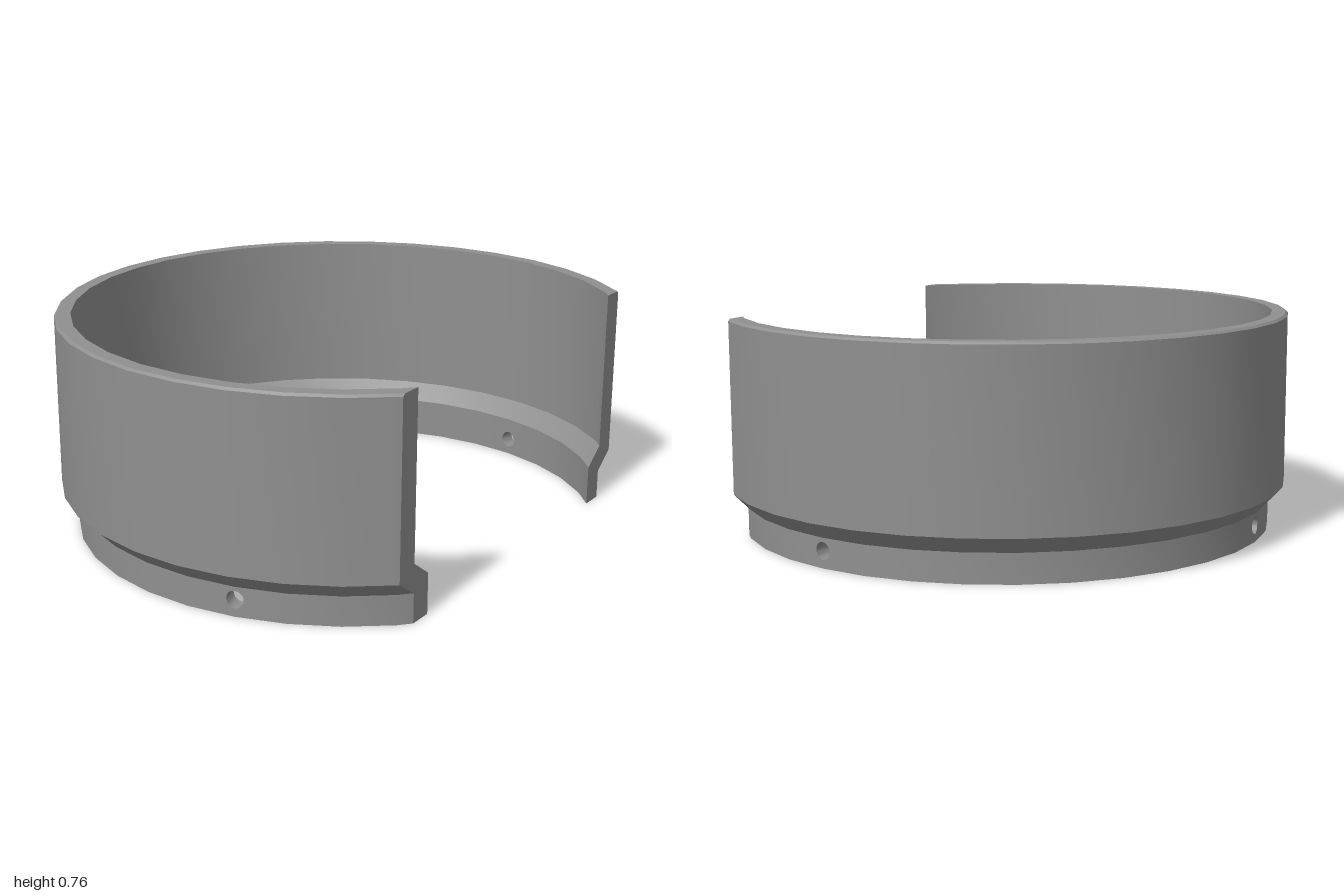
import * as THREE from 'three';
import { toCreasedNormals } from 'three/addons/utils/BufferGeometryUtils.js';

const STEP = (Math.PI * 2) / 35; // 35-sided ring, corner 0 on the -x side
const CENTRE_X = 0.156; // ring axis
const CUT_X = 0.688; // flat cut, measured from the ring axis
const FIRST = -14, LAST = 14; // end corners, both beyond the cut
const HOLE_Y = 0.058, HOLE_R = 0.03, ARC_STEPS = 10;
const HOLE_CORNERS = [-10, 0, 10];

// Wall section as (radius, y), counter-clockwise
const PROFILE = [
  [0.89, 0], [0.945, 0], [0.945, 0.102], [1.001, 0.16], [1.001, 0.757],
  [0.993, 0.765], [0.945, 0.765], [0.945, 0.2], [0.89, 0.14],
];
const OUTER_WALL = 1, INNER_WALL = 8; // profile edges the holes pierce

// Corner k of the ring polygon, clamped along the polygon to the cut plane
function corner([r, y], k) {
  const at = (j) => new THREE.Vector3(
    r * Math.cos(Math.PI + j * STEP), y, r * Math.sin(Math.PI + j * STEP));
  const dir = k < 0 ? 1 : -1;
  let a = at(k);
  if (a.x <= CUT_X) return a;
  let b = at(k += dir);
  while (b.x > CUT_X) { a = b; b = at(k += dir); }
  return a.clone().lerp(b, (a.x - CUT_X) / (a.x - b.x));
}

function buildRing() {
  const pos = [];
  const tri = (a, b, c, flip) => {
    const area = b.clone().sub(a).cross(c.clone().sub(a)).length();
    if (area < 1e-9) return;
    for (const p of flip ? [a, c, b] : [a, b, c]) pos.push(p.x, p.y, p.z);
  };
  const quad = (a, b, c, d, flip) => { tri(a, b, c, flip); tri(a, c, d, flip); };
  const fill = (contour, points, flip) => {
    for (const [a, b, c] of THREE.ShapeUtils.triangulateShape(contour, [])) {
      tri(points[a], points[b], points[c], flip);
    }
  };

  // Wall panel beside corner k with half a hole cut from that edge; returns the arc
  function halfPiercedPanel([r, height], k, side, flip) {
    const start = corner([r, 0], k), end = corner([r, 0], k + side);
    const width = start.distanceTo(end);
    const contour = [[0, 0], [width, 0], [width, height], [0, height]]
      .map(([s, y]) => new THREE.Vector2(s, y));
    for (let i = 0; i <= ARC_STEPS; i++) {
      const t = Math.PI * (0.5 - i / ARC_STEPS);
      contour.push(new THREE.Vector2(HOLE_R * Math.cos(t), HOLE_Y + HOLE_R * Math.sin(t)));
    }
    const points = contour.map((p) => start.clone().lerp(end, p.x / width).setY(p.y));
    fill(contour, points, flip);
    return points.slice(4);
  }

  // Wall facets
  for (let k = FIRST; k < LAST; k++) {
    const pierced = HOLE_CORNERS.includes(k) || HOLE_CORNERS.includes(k + 1);
    PROFILE.forEach((p, i) => {
      if (pierced && (i === OUTER_WALL || i === INNER_WALL)) return;
      const q = PROFILE[(i + 1) % PROFILE.length];
      quad(corner(p, k), corner(q, k), corner(q, k + 1), corner(p, k + 1), false);
    });
  }

  // Pierced panels and the bores between them
  for (const k of HOLE_CORNERS) {
    for (const side of [1, -1]) {
      const outer = halfPiercedPanel(PROFILE[OUTER_WALL + 1], k, side, side > 0);
      const inner = halfPiercedPanel(PROFILE[INNER_WALL], k, side, side < 0);
      for (let i = 0; i < ARC_STEPS; i++) {
        quad(inner[i], inner[i + 1], outer[i + 1], outer[i], side > 0);
      }
    }
  }

  // Flat end faces on the cut plane
  for (const k of [FIRST, LAST]) {
    const contour = PROFILE.map(([r, y]) => new THREE.Vector2(r, y));
    fill(contour, PROFILE.map((p) => corner(p, k)), k === FIRST);
  }

  const geometry = new THREE.BufferGeometry();
  geometry.setAttribute('position', new THREE.Float32BufferAttribute(pos, 3));
  return toCreasedNormals(geometry, 0.5);
}

export function createModel() {
  const group = new THREE.Group();
  group.name = 'openCollar';
  const ring = new THREE.Mesh(buildRing(), new THREE.MeshStandardMaterial({ color: 0x909090 }));
  ring.name = 'steppedRing';
  ring.position.x = CENTRE_X;
  group.add(ring);
  return group;
}
